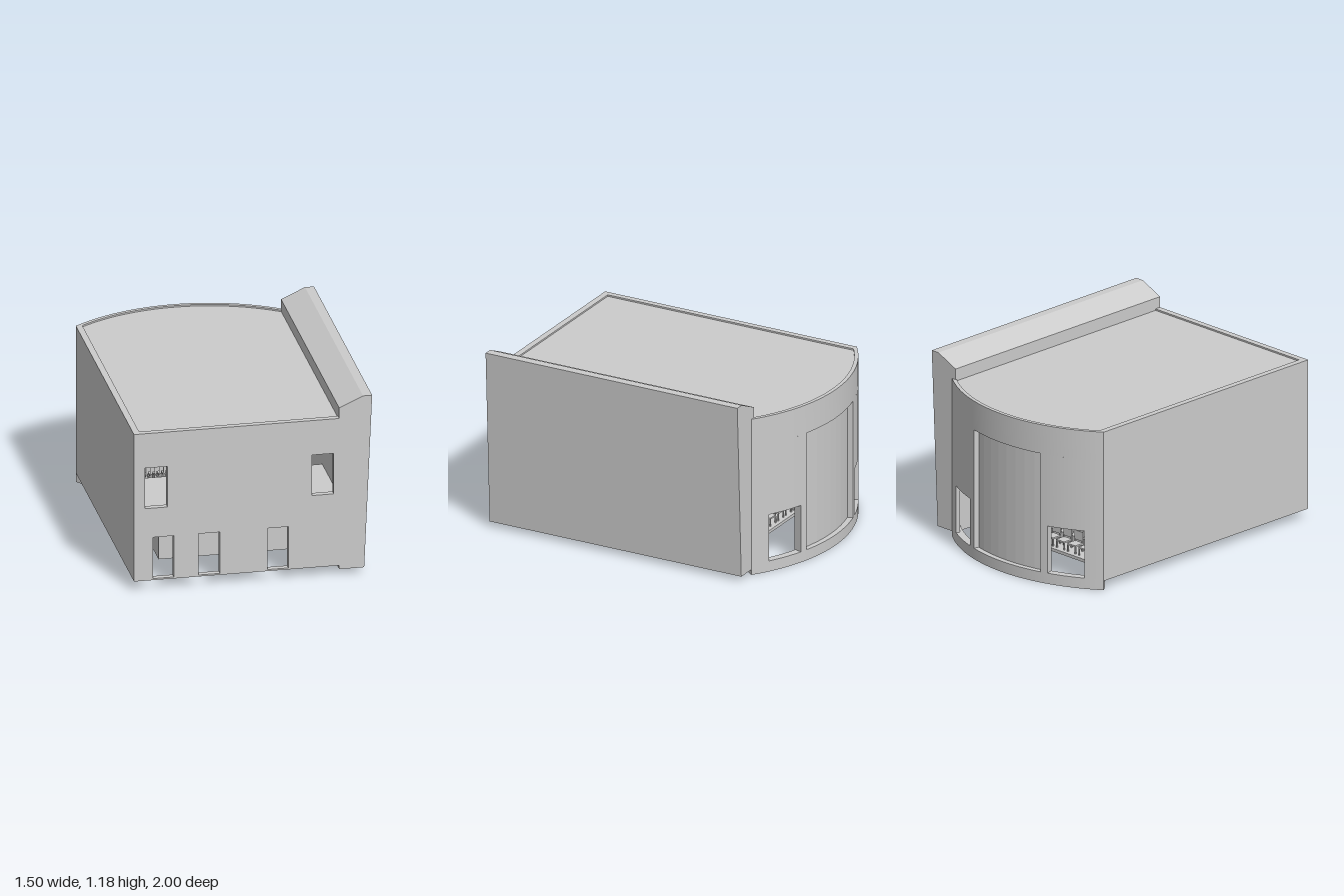
import * as THREE from 'three';
import { mergeGeometries, toCreasedNormals } from 'three/addons/utils/BufferGeometryUtils.js';

const material = new THREE.MeshStandardMaterial({ color: 0xcccccc, side: THREE.DoubleSide });

// Centre and half angle of the curved back wall, in plan
const CX = -0.09, CZ = 0.1, END = 0.6435;

export function createModel() {
  const group = new THREE.Group();

  const add = (name, geometry) => {
    const mesh = new THREE.Mesh(geometry, material);
    mesh.name = name;
    group.add(mesh);
  };
  const boxGeometry = (x0, x1, y0, y1, z0, z1) =>
    new THREE.BoxGeometry(x1 - x0, y1 - y0, z1 - z0)
      .translate((x0 + x1) / 2, (y0 + y1) / 2, (z0 + z1) / 2);
  const box = (name, ...size) => add(name, boxGeometry(...size));

  // Extrudes a [z, y] profile along x
  const extrudeX = (name, points, x0, x1) => {
    const shape = new THREE.Shape(points.map(([z, y]) => new THREE.Vector2(-z, y)));
    add(name, new THREE.ExtrudeGeometry(shape, { depth: x1 - x0, bevelEnabled: false })
      .rotateY(Math.PI / 2).translate(x0, 0, 0));
  };
  // Extrudes an [x, -z] plan upwards
  const extrudeY = (shape, y0, y1, segments = 24) =>
    new THREE.ExtrudeGeometry(shape, { depth: y1 - y0, bevelEnabled: false, curveSegments: segments })
      .rotateX(-Math.PI / 2).translate(0, y0, 0);
  // Curved wall piece between two angles measured from straight back
  const arcWall = (name, a0, a1, rOut, rIn, y0, y1, segments = 24, smooth = true) => {
    const shape = new THREE.Shape();
    shape.absarc(CX, -CZ, rOut, Math.PI / 2 + a0, Math.PI / 2 + a1, false);
    shape.absarc(CX, -CZ, rIn, Math.PI / 2 + a1, Math.PI / 2 + a0, true);
    const geometry = extrudeY(shape, y0, y1, segments);
    add(name, smooth ? toCreasedNormals(geometry, 0.5) : geometry);
  };

  // Front wall with windows and doorways
  const front = new THREE.Shape([
    [-0.75, 0.06], [0.54, 0.06], [0.54, 1.04], [-0.75, 1.04],
  ].map(p => new THREE.Vector2(...p)));
  for (const [x0, x1, y0, y1] of [
    [-0.68, -0.54, 0.54, 0.81], [0.37, 0.505, 0.54, 0.81],
    [-0.63, -0.5, 0.07, 0.345], [-0.345, -0.21, 0.07, 0.345], [0.09, 0.22, 0.07, 0.345],
  ]) {
    front.holes.push(new THREE.Path([
      [x0, y0], [x0, y1], [x1, y1], [x1, y0],
    ].map(p => new THREE.Vector2(...p))));
  }
  add('frontWall', new THREE.ExtrudeGeometry(front, { depth: 0.04, bevelEnabled: false })
    .translate(0, 0, 0.96));

  // Plain side wall and thick battered side wall
  box('sideWall', -0.75, -0.71, 0.06, 1.04, -0.78, 0.96);
  const thick = new THREE.Shape([
    [0.54, 0.035], [0.697, 0.035], [0.747, 1.178], [0.69, 1.178], [0.54, 1.11],
  ].map(p => new THREE.Vector2(...p)));
  add('thickSideWall', new THREE.ExtrudeGeometry(thick, { depth: 1.78, bevelEnabled: false })
    .translate(0, 0, -0.78));

  // Curved back wall: plinth, top band, recessed faceted panel
  arcWall('plinth', -END, END, 1.1, 1.05, 0, 0.07);
  arcWall('backTopBand', -END, END, 1.1, 1.075, 0.85, 1.04);
  arcWall('recessPanel', -0.275, 0.275, 1.065, 1.045, 0.07, 0.87, 4, false);
  // Piers and doorways either side of the recess
  for (const side of [-1, 1]) {
    const piece = (name, a, b, y0, r = 1.075) =>
      arcWall(name, Math.min(a * side, b * side), Math.max(a * side, b * side), 1.1, r, y0, 0.85, 8);
    piece('recessPier', 0.267, 0.312, 0.07, 1.045);
    piece('doorHead', 0.312, 0.534, 0.38);
    piece('outerPier', 0.534, END, 0.07);
  }

  // Flat roof sunk just below the parapet
  const roof = new THREE.Shape();
  roof.moveTo(-0.71, -0.96);
  roof.lineTo(0.54, -0.96);
  const roofEnd = Math.asin(0.63 / 1.078);
  roof.absarc(CX, -CZ, 1.078, Math.PI / 2 - roofEnd, Math.PI / 2 + roofEnd, false);
  add('roof', extrudeY(roof, 0.985, 1.03));

  // Stepped seating rising from the back to the upper floor at the front
  const ROWS = 9, DEPTH = 0.135, RISE = 0.058;
  const rowZ = i => -0.6 + i * DEPTH, rowY = i => 0.06 + i * RISE;
  const top = [], under = [];
  for (let i = 0; i < ROWS; i++) {
    const y = rowY(i);
    const z1 = i === ROWS - 1 ? 0.96 : rowZ(i + 1);
    top.push([rowZ(i), y], [z1, y]);
    under.push([rowZ(i) + (i ? 0.015 : 0), y - 0.02], [Math.min(z1 + 0.015, 0.96), y - 0.02]);
  }
  extrudeX('seatingSteps', [...top, ...under.reverse()], -0.71, 0.54);

  // Chairs in rows, leaving an aisle
  const chairs = [];
  for (let i = 0; i < ROWS; i++) {
    for (let j = 0; j < 9; j++) {
      const x = -0.36 + j * 0.0975, y = rowY(i), z = rowZ(i) + 0.06;
      const part = (x0, x1, y0, y1, z0, z1) =>
        chairs.push(boxGeometry(x + x0, x + x1, y + y0, y + y1, z + z0, z + z1));
      part(-0.035, 0.035, 0.045, 0.055, -0.035, 0.035);
      part(-0.035, 0.035, 0.065, 0.125, 0.03, 0.038);
      for (const s of [-0.032, 0.032]) {
        part(s - 0.004, s + 0.004, 0, 0.045, -0.035, -0.027);
        part(s - 0.004, s + 0.004, 0, 0.07, 0.027, 0.035);
      }
    }
  }
  add('chairs', mergeGeometries(chairs));

  // Lobby partition and side passage beneath the seating
  box('lobbyPartition', -0.52, 0.54, 0.06, 0.508, 0.66, 0.68);
  extrudeX('passageWall', [[0.2, 0.06], [0.68, 0.06], [0.68, 0.5], [0.54, 0.48], [0.2, 0.33]], -0.53, -0.51);
  box('passageEnd', -0.71, -0.51, 0.06, 0.34, 0.19, 0.21);

  return group;
}
